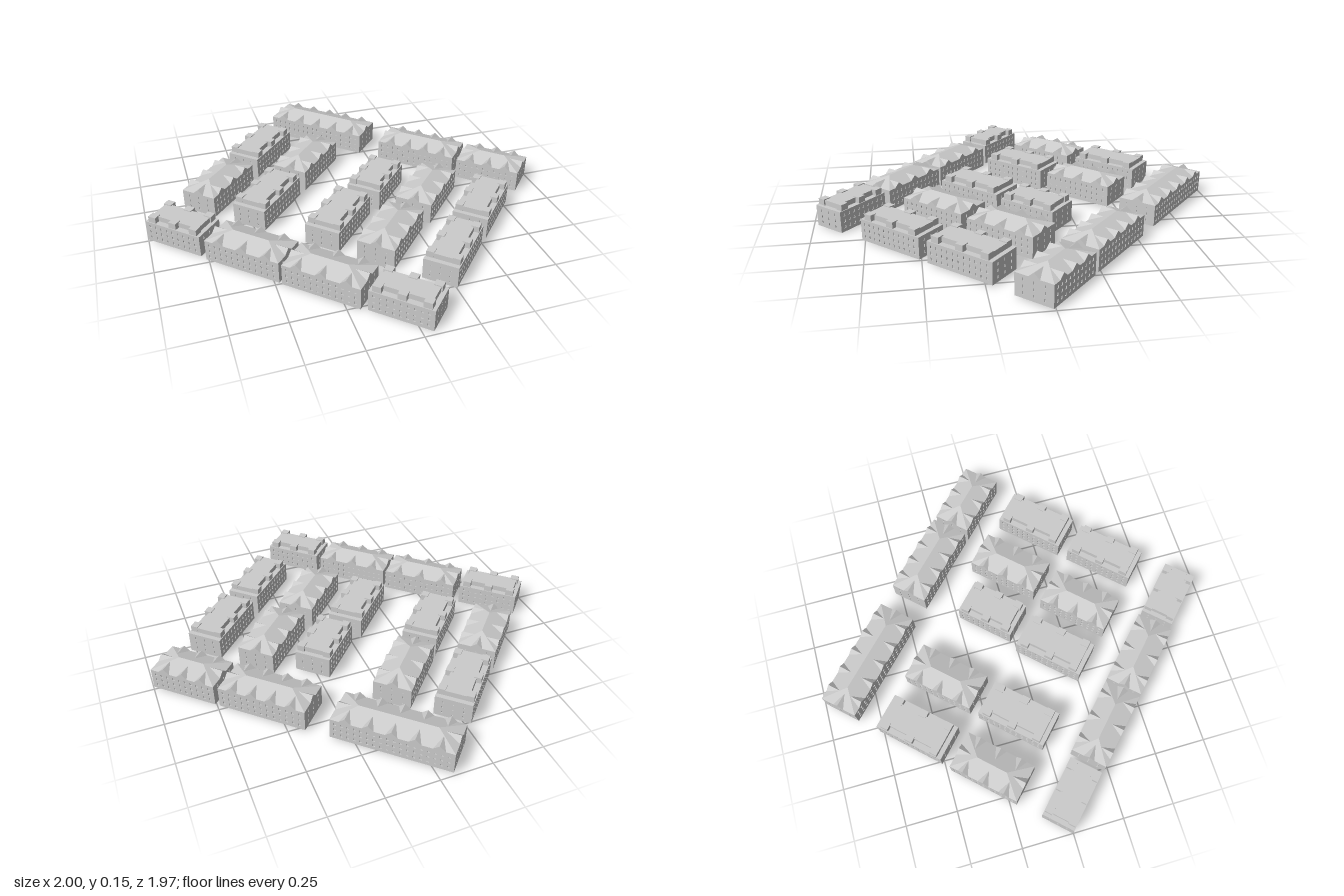
import * as THREE from 'three';
import { mergeGeometries } from 'three/addons/utils/BufferGeometryUtils.js';

const mat = new THREE.MeshStandardMaterial({ color: 0xcccccc, flatShading: true, side: THREE.DoubleSide });
const WALL = 0.106, SKIN = 0.004;

// centre x, centre z, length, width, direction (1 runs to back left, -1 runs to front left)
const hipped = [
  [0.075, -0.733, 0.56, 0.187, -1], [0.52, -0.313, 0.43, 0.187, -1], [0.813, -0.035, 0.33, 0.187, -1],
  [-0.12, -0.385, 0.36, 0.185, 1], [-0.61, -0.286, 0.356, 0.185, 1],
  [0.385, 0.088, 0.362, 0.185, 1], [0.088, 0.372, 0.357, 0.185, 1],
  [-0.559, 0.297, 0.386, 0.18, -1], [-0.27, 0.57, 0.38, 0.182, -1],
];
const flat = [
  [-0.329, -0.58, 0.351, 0.176, 1], [-0.398, -0.094, 0.351, 0.176, 1], [0.166, -0.07, 0.295, 0.177, 1],
  [-0.11, 0.179, 0.35, 0.176, 1], [0.591, 0.289, 0.35, 0.174, 1], [0.313, 0.58, 0.35, 0.166, 1],
  [-0.834, 0.04, 0.3, 0.163, -1], [-0.003, 0.82, 0.297, 0.162, -1],
];

function rect(path, x, y, w, h) {
  path.moveTo(x, y).lineTo(x + w, y).lineTo(x + w, y + h).lineTo(x, y + h).closePath();
  return path;
}

// wall panel pierced by a grid of windows
function panel(length, columns, winW) {
  const shape = rect(new THREE.Shape(), -length / 2, 0, length, WALL);
  for (let c = 0; c < columns; c++) {
    const x = ((c + 0.5) / columns - 0.5) * (length - 0.02);
    for (let r = 0; r < 3; r++) {
      shape.holes.push(rect(new THREE.Path(), x - winW / 2, 0.017 + r * 0.03, winW, 0.014));
    }
  }
  return new THREE.ExtrudeGeometry(shape, { depth: SKIN, bevelEnabled: false });
}

function box(w, h, d, x, y, z) {
  return new THREE.BoxGeometry(w, h, d).translate(x, y + h / 2, z);
}

function add(group, name, geometries) {
  const mesh = new THREE.Mesh(mergeGeometries(geometries.map(g => (g.index ? g.toNonIndexed() : g))), mat);
  mesh.name = name;
  group.add(mesh);
}

function walls(group, L, W) {
  const parts = [box(L - 2 * SKIN, WALL, W - 2 * SKIN, 0, 0, 0)];
  for (const s of [0, 1]) {
    parts.push(panel(L, Math.round(L / 0.032), 0.011).translate(0, 0, W / 2 - SKIN).rotateY(s * Math.PI));
    parts.push(panel(W - 2 * SKIN, 3, 0.006).translate(0, 0, L / 2 - SKIN).rotateY(Math.PI / 2 + s * Math.PI));
  }
  add(group, 'walls', parts);
}

function triangles(points) {
  const g = new THREE.BufferGeometry();
  g.setAttribute('position', new THREE.Float32BufferAttribute(points.flat(), 3));
  g.setAttribute('uv', new THREE.Float32BufferAttribute(new Float32Array(points.length * 2), 2));
  g.computeVertexNormals();
  return g;
}

// hipped roof with a row of small gables along every eave
function hipRoof(group, L, W) {
  const rise = 0.034, hip = 0.1, peak = 0.023, half = 0.028;
  const a = L / 2, b = W / 2, y = WALL, t = WALL + rise;
  const p = [[-a, y, b], [a, y, b], [a, y, -b], [-a, y, -b]];
  const r0 = [-a + hip, t, 0], r1 = [a - hip, t, 0];
  add(group, 'hippedRoof', [triangles([
    p[0], p[1], r1, p[0], r1, r0, p[2], p[3], r0, p[2], r0, r1,
    p[1], p[2], r1, p[3], p[0], r0,
  ])]);

  // a gable at offset x on an eave at distance e, meeting a slope that rises over run
  const gable = (x, e, run, turn) => {
    const l = [x - half, y, e], r = [x + half, y, e];
    const top = [x, y + peak, e], back = [x, y + peak, e - run * peak / rise];
    return triangles([l, r, top, l, top, back, r, back, top]).rotateY(turn);
  };
  const gables = [];
  const n = Math.round(L / 0.115), span = L - 0.14;
  for (const s of [0, Math.PI]) {
    for (let i = 0; i < n; i++) gables.push(gable((i / (n - 1) - 0.5) * span, b, b, s));
    gables.push(gable(0, a, hip, s + Math.PI / 2));
  }
  add(group, 'roofGables', gables);
}

// set-back attic storey with dormers reaching out to the facade
function atticRoof(group, L, W) {
  const inset = 0.028;
  add(group, 'attic', [box(L - 0.045, 0.026, W - 2 * inset, 0, WALL, 0)]);
  const dormers = [];
  for (const side of [-1, 1]) {
    for (const k of [-0.38, 0, 0.38]) {
      dormers.push(box(0.04, 0.03, 0.036, k * L, WALL, side * (W / 2 - 0.022)));
    }
  }
  add(group, 'dormers', dormers);
}

export function createModel() {
  const model = new THREE.Group();
  model.name = 'housingBlocks';
  const place = (list, name, roof) => list.forEach(([x, z, L, W, dir], i) => {
    const building = new THREE.Group();
    building.name = name + (i + 1);
    walls(building, L, W);
    roof(building, L, W);
    // the ground climbs slightly towards the back
    building.position.set(x, Math.max(0, 0.0065 - 0.008 * z), z);
    building.rotation.y = THREE.MathUtils.degToRad(dir > 0 ? 46.6 : -43.4);
    model.add(building);
  });
  place(hipped, 'hippedBuilding', hipRoof);
  place(flat, 'flatBuilding', atticRoof);
  return model;
}
